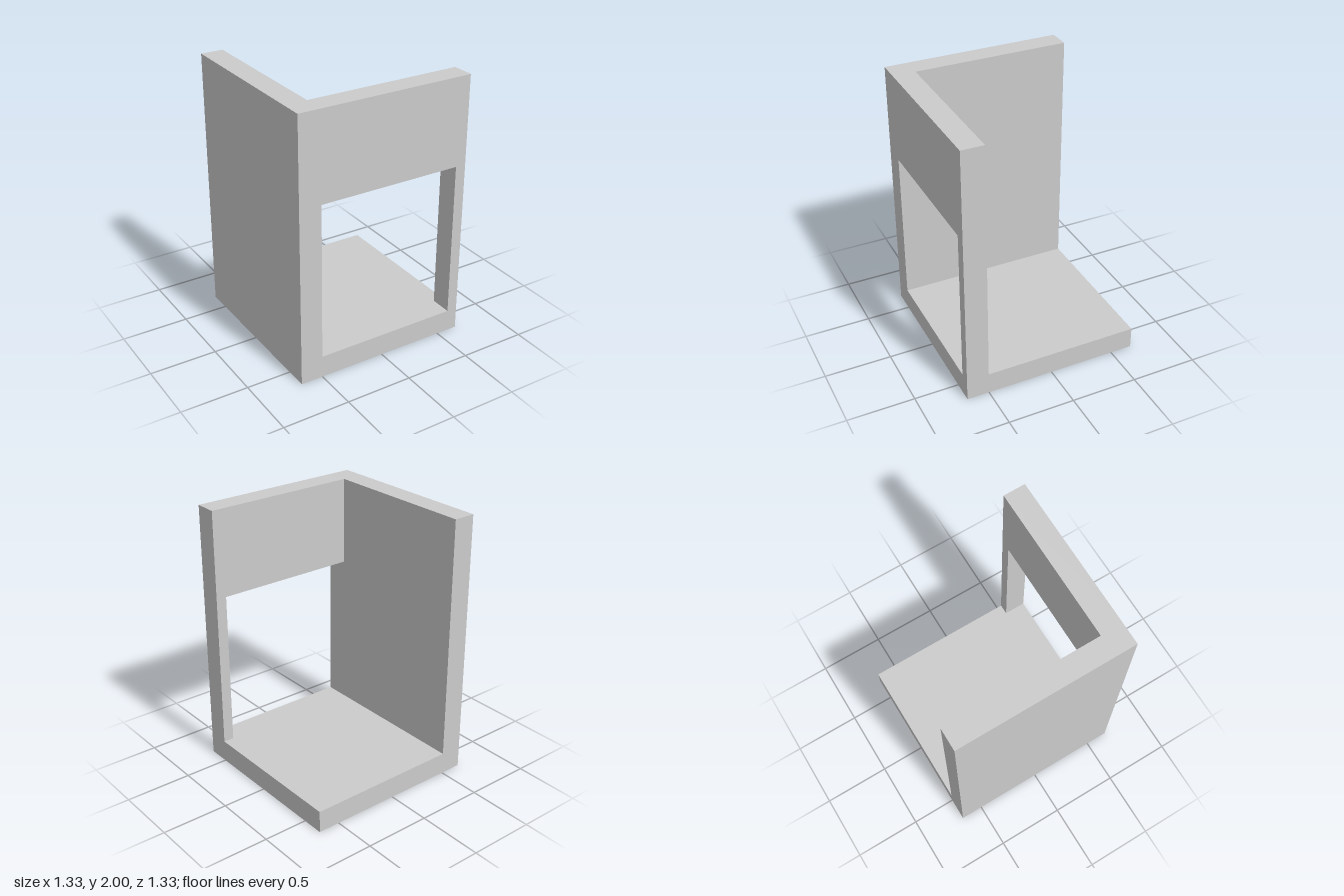
import * as THREE from 'three';

const H = 2;            // overall height
const R = 2 / 3;        // half width and half depth
const T = 1 / 6;        // thickness of the floor and walls
const POST = 0.08;      // width of the narrow front post
const OPEN_TOP = 1.34;  // upper edge of the front opening

export function createModel() {
  const group = new THREE.Group();
  group.name = 'cornerShelter';
  const material = new THREE.MeshStandardMaterial({ color: 0xcccccc });

  // Box given by its minimum and maximum corners
  function slab(name, [x0, y0, z0], [x1, y1, z1]) {
    const geometry = new THREE.BoxGeometry(x1 - x0, y1 - y0, z1 - z0);
    geometry.translate((x0 + x1) / 2, (y0 + y1) / 2, (z0 + z1) / 2);
    const mesh = new THREE.Mesh(geometry, material);
    mesh.name = name;
    group.add(mesh);
  }

  // Square floor and the solid side wall standing on it
  slab('floor', [-R, 0, -R], [R, T, R]);
  slab('sideWall', [-R, T, -R], [-R + T, H, R]);

  // Front wall: a lintel above the opening, carried by a narrow post
  slab('frontLintel', [-R + T, OPEN_TOP, R - T], [R, H, R]);
  slab('frontPost', [R - POST, T, R - T], [R, OPEN_TOP, R]);

  return group;
}
